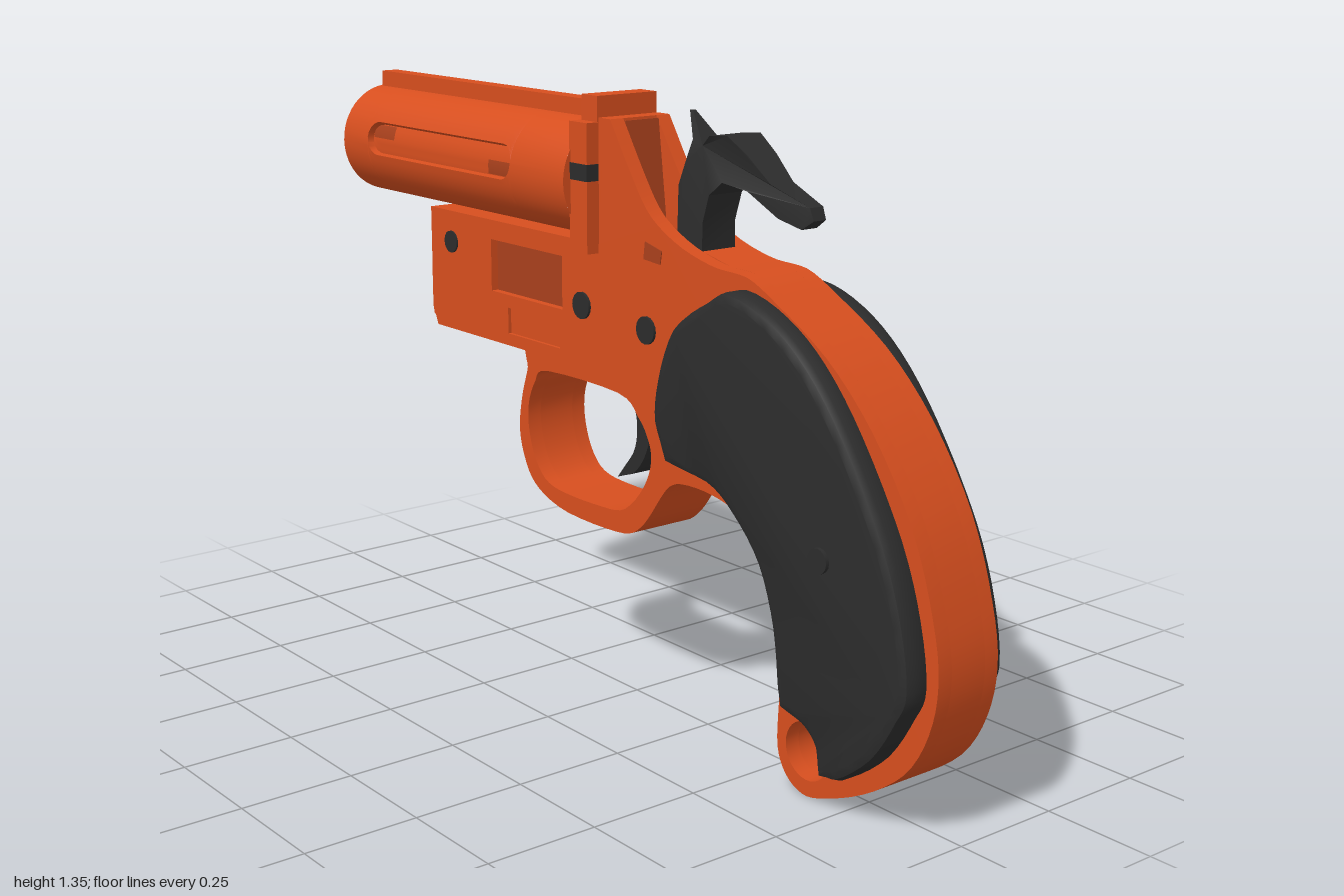
import * as THREE from 'three';
import { toCreasedNormals } from 'three/addons/utils/BufferGeometryUtils.js';

const paint = (name, color) => {
  const mat = new THREE.MeshStandardMaterial({ color });
  mat.name = name;
  return mat;
};
const orange = paint('safety orange', 0xd64e1e);
const burnt = paint('burnt orange', 0xa8401c);
const dark = paint('charcoal', 0x2c2c2c);

const vecs = (pts) => pts.map(([z, y]) => new THREE.Vector2(z, y));
const rect = (z0, z1, y0, y1) => [[z0, y0], [z1, y0], [z1, y1], [z0, y1]];
const circle = (z, y, r, n = 32) => Array.from({ length: n }, (_, i) => {
  const t = (i / n) * Math.PI * 2;
  return [z + r * Math.cos(t), y + r * Math.sin(t)];
});

// Subdivides a closed outline into curves, keeping corners that turn sharply
function smooth(pts, passes = 2) {
  let out = vecs(pts);
  for (let pass = 0; pass < passes; pass++) {
    const at = (i) => out[(i + out.length) % out.length];
    const soft = (i) => {
      const a = at(i).clone().sub(at(i - 1)), b = at(i + 1).clone().sub(at(i));
      return a.dot(b) > Math.cos(0.8) * a.length() * b.length();
    };
    out = out.flatMap((p, i) => {
      const mid = p.clone().add(at(i + 1)).multiplyScalar(0.5);
      if (soft(i) && soft(i + 1)) {
        const far = at(i - 1).clone().add(at(i + 2)).multiplyScalar(0.5);
        mid.multiplyScalar(1.125).addScaledVector(far, -0.125);
      }
      return [p, mid];
    });
  }
  return out.map((p) => [p.x, p.y]);
}

// Side outline in (z, y), extruded along x from x0 to x1
function slab(pts, x0, x1, holes = [], bevel = 0) {
  const shape = new THREE.Shape(vecs(pts));
  shape.holes = holes.map((h) => new THREE.Path(vecs(h)));
  const geo = new THREE.ExtrudeGeometry(shape, {
    depth: x1 - x0 - 2 * bevel, bevelEnabled: bevel > 0, bevelSize: bevel,
    bevelThickness: bevel, bevelOffset: -bevel, bevelSegments: 2,
  });
  geo.rotateY(-Math.PI / 2).translate(x1 - bevel, 0, 0);
  return toCreasedNormals(geo, 0.6);
}

// Grip, trigger guard and fore-end outline shared by all frame layers
const lowerFrame = [
  [.36, 1.035], [.45, 1.03], [.54, .99], [.68, .91], [.81, .79], [.92, .63], [.98, .47],
  [1, .35], [.98, .24], [.92, .14], [.81, .06], [.7, .012], [.64, 0], [.59, .025],
  [.563, .08], [.565, .17], [.565, .27], [.555, .36], [.51, .47], [.44, .535], [.35, .56],
  [.25, .56], [.2, .535], [.15, .47], [.1, .42], [.03, .4], [-.15, .4], [-.26, .43],
  [-.31, .48], [-.335, .56], [-.32, .65], [-.3, .71], [-.31, .747], [-.67, .747],
  [-.69, .79], [-.69, 1.03], [-.03, 1.03],
];
const cheekRamp = [[-.03, 1.3], [.01, 1.3], [.03, 1.27], [.09, 1.18], [.15, 1.11], [.25, 1.06]];
const hammerSlot = [[-.03, 1.3], [.01, 1.3], [.04, 1.06], [.25, 1.055]];
const slotLining = [[.01, 1.295], [.04, 1.06], [.25, 1.055], [.25, 1.06], [.046, 1.066], [.017, 1.295]];
const guardHole = smooth([
  [.1, .68], [.035, .715], [-.22, .715], [-.27, .685], [-.3, .615], [-.29, .535], [-.25, .47],
  [-.18, .445], [-.02, .445], [.06, .46], [.125, .525], [.15, .59], [.135, .64],
]);
const panelOutline = smooth([
  [.45, 1.005], [.37, .97], [.275, .905], [.225, .79], [.215, .695], [.25, .615], [.385, .6],
  [.465, .555], [.545, .47], [.59, .35], [.605, .24], [.615, .19], [.68, .175], [.72, .14],
  [.73, .08], [.785, .09], [.88, .165], [.945, .265], [.97, .33], [.95, .455], [.895, .6],
  [.785, .775], [.68, .895], [.57, .97],
]);
const hammerOutline = [
  [.18, 1.33], [.215, 1.275], [.215, 1.23], [.193, 1.18], [.19, 1.08], [.21, 1], [.27, 1.02],
  [.27, 1.11], [.29, 1.17], [.33, 1.2], [.4, 1.19], [.48, 1.145], [.54, 1.13], [.57, 1.15],
  [.56, 1.175], [.46, 1.21], [.4, 1.26], [.345, 1.295], [.29, 1.29], [.25, 1.265], [.19, 1.33],
];
const triggerOutline = smooth([
  [-.02, .73], [.03, .685], [.045, .63], [.03, .57], [-.025, .505], [.03, .525], [.07, .57],
  [.09, .63], [.08, .685], [.055, .73],
]);

// Barrel skin: rings lofted along z, with a round-ended slot sunk into each side
const slotTilt = 0.15;
function barrelSkin(R, floor) {
  const half = 0.31;
  const rows = [[-.09, 0, R], [-.29, 0, R]];
  for (let i = 0; i <= 5; i++) {
    const t = (i / 5) * Math.PI / 2;
    rows.push([-.29 - .04 * (1 - Math.cos(t)), half * Math.sin(t), floor]);
  }
  for (let i = 5; i >= 0; i--) {
    const t = (i / 5) * Math.PI / 2;
    rows.push([-.89 + .04 * (1 - Math.cos(t)), half * Math.sin(t), floor]);
  }
  rows.push([-.89, 0, R], [-1, 0, R]);

  const pos = [], index = [];
  let count = 0;
  for (const [z, a, slotR] of rows) {
    const start = pos.length;
    const arc = (from, to, r, n) => {
      for (let k = 0; k <= n; k++) {
        const t = from + ((to - from) * k) / n;
        pos.push(r * Math.cos(t), r * Math.sin(t), z);
      }
    };
    arc(slotTilt - a, slotTilt + a, slotR, 6);
    arc(slotTilt + a, Math.PI - slotTilt - a, R, 24);
    arc(Math.PI - slotTilt - a, Math.PI - slotTilt + a, slotR, 6);
    arc(Math.PI - slotTilt + a, 2 * Math.PI + slotTilt - a, R, 24);
    count = (pos.length - start) / 3;
  }
  for (let i = 0; i < rows.length - 1; i++) {
    for (let j = 0; j < count; j++) {
      const a = i * count + j, b = i * count + ((j + 1) % count);
      index.push(a, a + count, b, b, a + count, b + count);
    }
  }
  const geo = new THREE.BufferGeometry();
  geo.setAttribute('position', new THREE.Float32BufferAttribute(pos, 3));
  geo.setIndex(index);
  return toCreasedNormals(geo, 0.6);
}

export function createModel() {
  const model = new THREE.Group();
  model.name = 'flareGun';
  const add = (name, geo, mat, x = 0, y = 0, z = 0) => {
    const mesh = new THREE.Mesh(geo, mat);
    mesh.name = name;
    mesh.position.set(x, y, z);
    model.add(mesh);
    return mesh;
  };

  // Frame: a core with the hammer slot, between two cheeks with sunken pockets
  const ringHole = circle(.65, .096, .062);
  const bigPocket = rect(-.44, -.165, .865, .985);
  const smallPocket = rect(-.375, -.175, .775, .835);
  const core = smooth([...hammerSlot, ...lowerFrame]);
  const cheek = smooth([...cheekRamp, ...lowerFrame]);
  add('frameCore', slab(core, -.045, .045, [guardHole, ringHole]), orange);
  const cheekHoles = [guardHole, ringHole, bigPocket, smallPocket];
  for (const [side, x0, x1] of [['left', .045, .08], ['right', -.08, -.045]]) {
    add(side + 'FrameCheek', slab(cheek, x0, x1, cheekHoles), orange);
  }
  add('hammerSlotLining', slab(slotLining, -.045, .045), burnt);
  add('pocketFloor', slab(bigPocket, -.062, .062), burnt);
  add('smallPocketFloor', slab(smallPocket, -.072, .072), orange);
  add('hammerPivot', slab([[.125, 1.02], [.18, 1.016], [.185, 1.045], [.13, 1.058]], -.082, .082), burnt);

  // Breech block and its latch pin
  add('breechBlock', new THREE.BoxGeometry(.22, .28, .062), orange, 0, 1.15, -.063);
  add('breechCap', new THREE.BoxGeometry(.16, .06, .055), orange, 0, 1.315, -.062);
  add('latchPin', new THREE.BoxGeometry(.224, .036, .066), dark, 0, 1.184, -.063);

  // Barrel with closed breech, recessed muzzle and sighting rib
  add('barrel', barrelSkin(.13, .113), orange, 0, 1.16, 0);
  add('barrelBreechFace', new THREE.CircleGeometry(.13, 48), orange, 0, 1.16, -.09);
  const muzzle = new THREE.LatheGeometry(vecs([[.13, 1], [.095, 1], [.095, .96], [0, .96]]), 48);
  add('muzzle', toCreasedNormals(muzzle.rotateX(-Math.PI / 2), 0.6), orange, 0, 1.16, 0);
  add('sightRib', new THREE.BoxGeometry(.042, .07, .9), orange, 0, 1.29, -.54);

  // Grip panels, screws, frame pins and slot end patches on both sides
  for (const [side, s] of [['left', 1], ['right', -1]]) {
    const [p0, p1] = s > 0 ? [.06, .132] : [-.132, -.06];
    add(side + 'GripPanel', slab(panelOutline, p0, p1, [], .02), dark);
    const pins = [['GripScrew', .73, .53, .026, .14], ['RearPin', .135, .87, .03, .086],
      ['MiddlePin', -.09, .887, .03, .086], ['HingePin', -.603, .957, .026, .084]];
    for (const [name, z, y, r, reach] of pins) {
      const pin = add(side + name, new THREE.CylinderGeometry(r, r, .03, 16), dark, s * (reach - .015), y, z);
      pin.rotation.z = Math.PI / 2;
    }
    for (const [name, z, angle] of [['SlotRearPatch', -.35, -.15], ['SlotFrontPatch', -.84, .15]]) {
      const mid = s * (Math.PI / 2 - slotTilt - angle);
      const patch = new THREE.CylinderGeometry(.1145, .1145, .09, 6, 1, true, mid - .14, .28);
      add(side + name, patch.rotateX(-Math.PI / 2), burnt, 0, 1.16, z);
    }
  }

  // Hammer: the spur narrows rearward and the sight tip narrows upward
  const hammer = slab(hammerOutline, -1, 1);
  const p = hammer.attributes.position;
  for (let i = 0; i < p.count; i++) {
    const y = p.getY(i), z = p.getZ(i);
    let w = .044;
    if (y > 1.26 && z < .26) w = (1.34 - y) * .38;
    else if (z > .35) w = THREE.MathUtils.mapLinear(z, .35, .57, .044, .016);
    p.setX(i, Math.sign(p.getX(i)) * w);
  }
  add('hammer', toCreasedNormals(hammer, 0.6), dark);

  add('trigger', slab(triggerOutline, -.035, .035), dark);
  return model;
}
